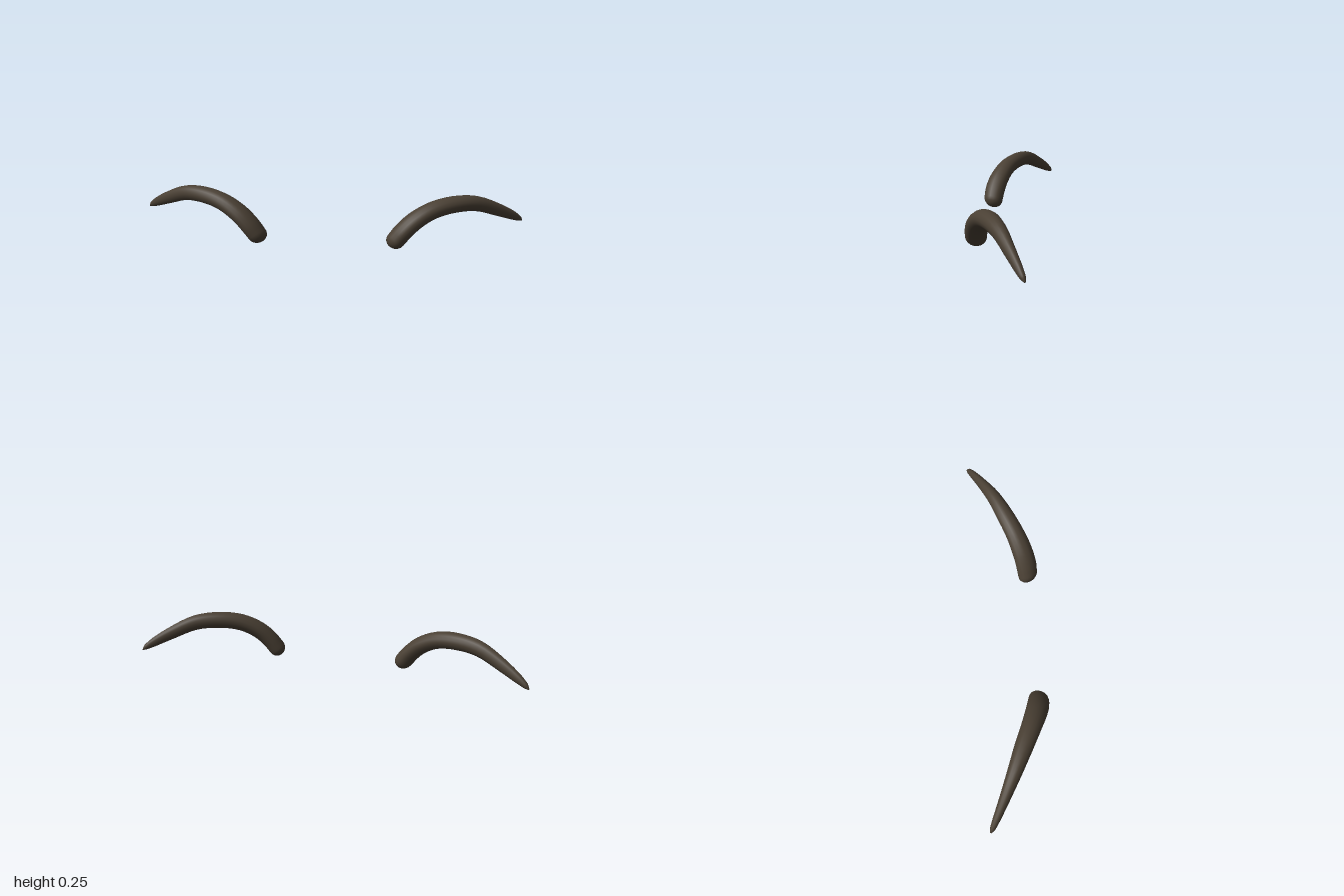
import * as THREE from 'three';

// Centre line from the blunt inner end to the outer tip: x, y, z, radius in the arch plane, radius across it
const SECTIONS = [
  [0.350, 0.045, 0.119, 0.045, 0.053],
  [0.385, 0.090, 0.113, 0.045, 0.056],
  [0.440, 0.142, 0.096, 0.044, 0.055],
  [0.525, 0.188, 0.062, 0.043, 0.050],
  [0.630, 0.207, 0.015, 0.042, 0.045],
  [0.745, 0.198, -0.037, 0.039, 0.036],
  [0.860, 0.148, -0.094, 0.033, 0.026],
  [0.940, 0.105, -0.136, 0.024, 0.019],
  [0.980, 0.080, -0.158, 0.014, 0.013],
  [0.995, 0.067, -0.167, 0.003, 0.004],
];
const SIDES = 16, STEPS = 36, CAP_STEPS = 6;

function browGeometry(side) {
  const path = new THREE.CatmullRomCurve3(SECTIONS.map(s => new THREE.Vector3(s[0], s[1], s[2])));
  const radii = new THREE.CatmullRomCurve3(SECTIONS.map(s => new THREE.Vector3(s[3], s[4], 0)));
  const across = new THREE.Vector3(0.4, 0, 0.917).normalize();
  const positions = [], index = [];

  const addRing = (centre, tangent, rUp, rAcross) => {
    const up = new THREE.Vector3().crossVectors(across, tangent).normalize();
    for (let j = 0; j < SIDES; j++) {
      const a = (j / SIDES) * Math.PI * 2;
      const p = centre.clone()
        .addScaledVector(up, Math.cos(a) * rUp)
        .addScaledVector(across, Math.sin(a) * rAcross);
      positions.push(p.x * side, p.y, p.z);
    }
  };

  // Rounded inner end
  const start = path.getPoint(0), startDir = path.getTangent(0), r0 = radii.getPoint(0);
  for (let i = 1; i < CAP_STEPS; i++) {
    const a = (i / CAP_STEPS) * Math.PI / 2;
    const centre = start.clone().addScaledVector(startDir, -r0.x * Math.cos(a));
    addRing(centre, startDir, r0.x * Math.sin(a), r0.y * Math.sin(a));
  }
  // Tapering arch
  for (let i = 0; i <= STEPS; i++) {
    const t = i / STEPS, r = radii.getPoint(t);
    addRing(path.getPoint(t), path.getTangent(t), r.x, r.y);
  }

  // Skin, with the winding swapped on the mirrored side
  const tri = (a, b, c) => (side > 0 ? index.push(a, b, c) : index.push(a, c, b));
  const rings = positions.length / 3 / SIDES;
  const first = rings * SIDES, last = first + 1;
  const pole = start.clone().addScaledVector(startDir, -r0.x);
  const tip = path.getPoint(1).addScaledVector(path.getTangent(1), 0.002);
  positions.push(pole.x * side, pole.y, pole.z, tip.x * side, tip.y, tip.z);
  for (let j = 0; j < SIDES; j++) {
    const k = (j + 1) % SIDES;
    for (let i = 0; i < rings - 1; i++) {
      const a = i * SIDES + j, b = i * SIDES + k;
      tri(a, a + SIDES, b);
      tri(b, a + SIDES, b + SIDES);
    }
    tri(first, j, k);
    tri(last, (rings - 1) * SIDES + k, (rings - 1) * SIDES + j);
  }

  // Make sure the skin faces outwards whatever the frame handedness
  const geometry = new THREE.BufferGeometry();
  geometry.setAttribute('position', new THREE.Float32BufferAttribute(positions, 3));
  const v = n => new THREE.Vector3().fromArray(positions, n * 3);
  let volume = 0;
  for (let i = 0; i < index.length; i += 3) {
    volume += v(index[i]).dot(v(index[i + 1]).cross(v(index[i + 2])));
  }
  geometry.setIndex(volume < 0 ? index.reverse() : index);
  geometry.computeVertexNormals();
  return geometry;
}

export function createModel() {
  const group = new THREE.Group();
  group.name = 'eyebrows';
  const material = new THREE.MeshStandardMaterial({ color: 0x4a4034 });
  for (const [name, side] of [['leftEyebrow', 1], ['rightEyebrow', -1]]) {
    const brow = new THREE.Mesh(browGeometry(side), material);
    brow.name = name;
    group.add(brow);
  }
  return group;
}
